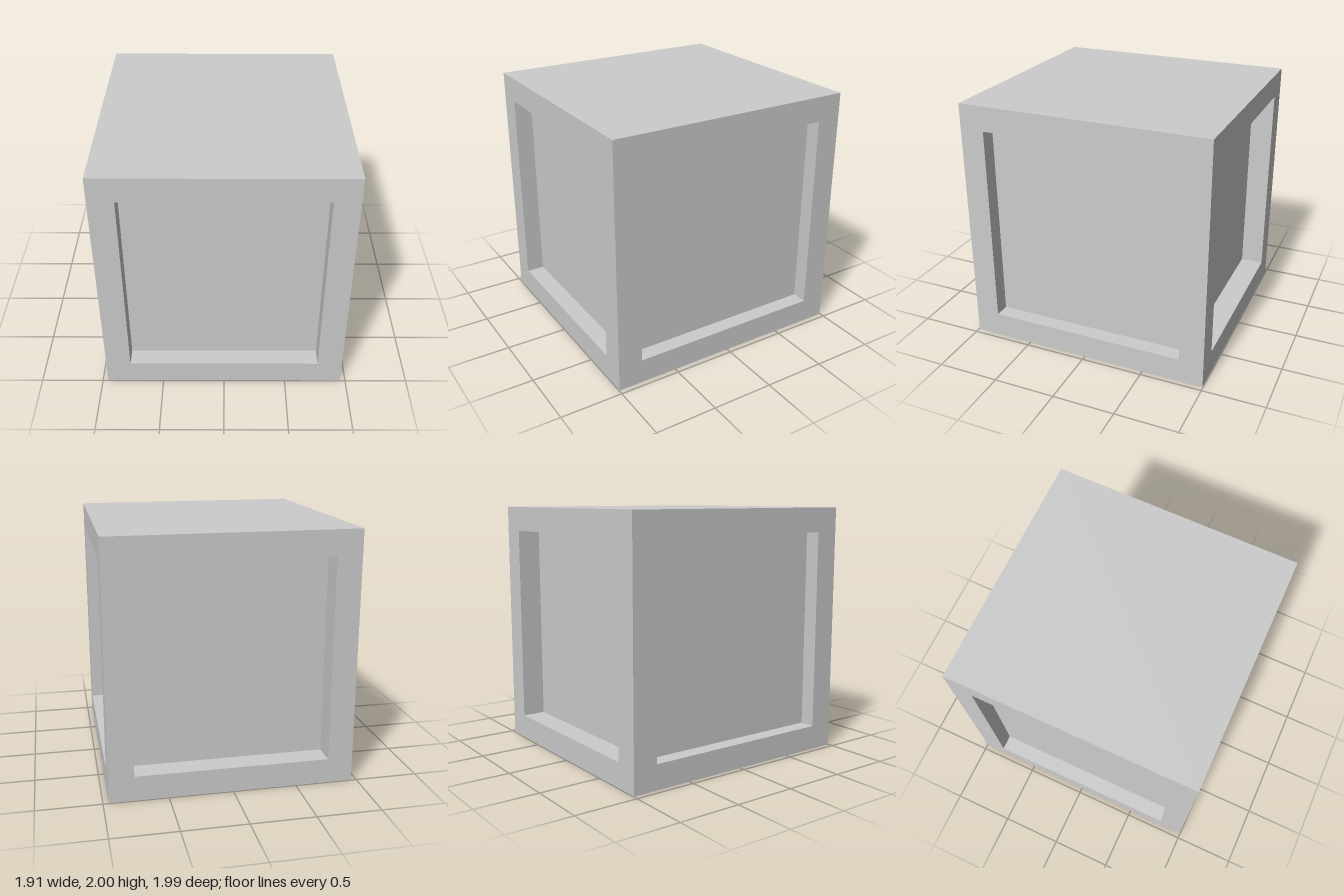
import * as THREE from 'three';

const W = 1.914, H = 2, D = 1.99; // overall size
const BORDER = 0.197;             // frame width around each recess

const material = new THREE.MeshStandardMaterial({ color: 0xcccccc });

// Rectangle corners, counter-clockwise as seen from outside
const rectangle = (w, h, z) =>
  [[-1, -1], [1, -1], [1, 1], [-1, 1]].map(([sx, sy]) => [sx * w / 2, sy * h / 2, z]);

// Frame, reveals and sunken panel, joined from three rectangular loops
function recessedSide(name, width, distance, depth, angle) {
  const w = width - 2 * BORDER, h = H - 2 * BORDER;
  const loops = [rectangle(width, H, 0), rectangle(w, h, 0), rectangle(w, h, -depth)];
  const points = [];
  const quad = (a, b, c, d) => points.push(...a, ...b, ...c, ...a, ...c, ...d);
  for (let k = 0; k < 2; k++) {
    for (let i = 0; i < 4; i++) {
      const j = (i + 1) % 4;
      quad(loops[k][i], loops[k][j], loops[k + 1][j], loops[k + 1][i]);
    }
  }
  quad(...loops[2]);
  const geometry = new THREE.BufferGeometry();
  geometry.setAttribute('position', new THREE.Float32BufferAttribute(points, 3));
  geometry.computeVertexNormals();
  geometry.translate(0, H / 2, distance).rotateY(angle);
  const mesh = new THREE.Mesh(geometry, material);
  mesh.name = name;
  return mesh;
}

// Plain horizontal face
function plate(name, y, angle) {
  const geometry = new THREE.PlaneGeometry(W, D).rotateX(angle).translate(0, y, 0);
  const mesh = new THREE.Mesh(geometry, material);
  mesh.name = name;
  return mesh;
}

export function createModel() {
  const crate = new THREE.Group();
  crate.name = 'crate';
  crate.add(
    recessedSide('frontSide', W, D / 2, 0.145, 0),
    recessedSide('leftSide', D, W / 2, 0.125, Math.PI / 2),
    recessedSide('backSide', W, D / 2, 0.187, Math.PI),
    recessedSide('rightSide', D, W / 2, 0.125, -Math.PI / 2),
    plate('top', H, -Math.PI / 2),
    plate('bottom', 0, Math.PI / 2),
  );
  return crate;
}
